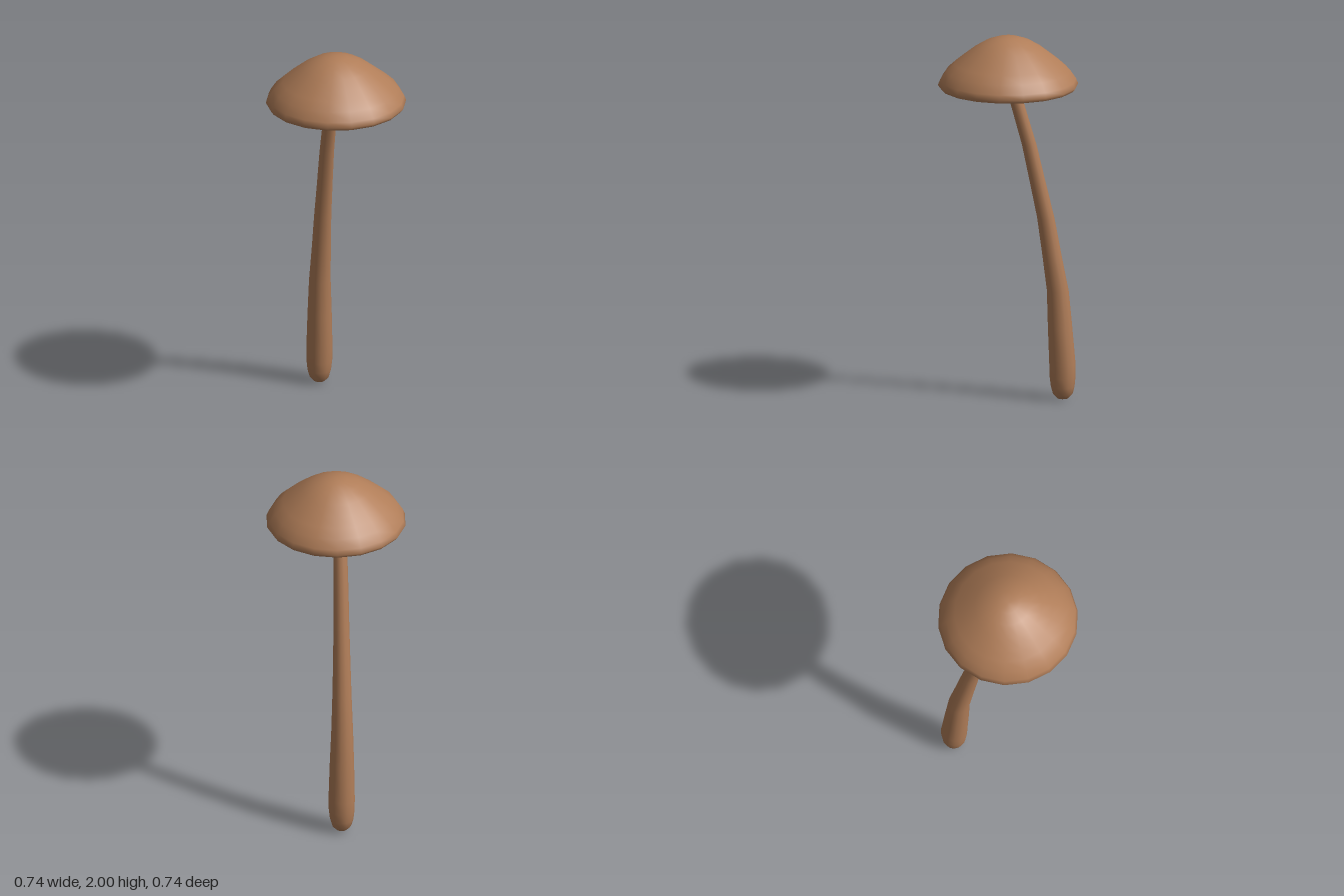
import * as THREE from 'three';
import { mergeVertices } from 'three/addons/utils/BufferGeometryUtils.js';

const brown = new THREE.MeshStandardMaterial({ color: 0xb07d58 });
brown.name = 'mushroom brown';
const dark = new THREE.MeshStandardMaterial({ color: 0x373026 });
dark.name = 'dark underside';

// Lathe from [radius, y] pairs listed from the inside/bottom to the outside/top
const lathe = (pairs, sides, start = 0) =>
  new THREE.LatheGeometry(pairs.map(([r, y]) => new THREE.Vector2(r, y)), sides, start);

// Weld the seam and smooth the normals
function smooth(geometry) {
  geometry.deleteAttribute('uv');
  geometry.deleteAttribute('normal');
  const welded = mergeVertices(geometry, 1e-4);
  welded.computeVertexNormals();
  return welded;
}

function addPart(group, name, geometry, material) {
  const mesh = new THREE.Mesh(geometry, material);
  mesh.name = name;
  group.add(mesh);
}

export function createModel() {
  const model = new THREE.Group();
  model.name = 'mushroom';
  const sides = 18, turn = -0.066;

  // Domed cap with a small rolled rim
  addPart(model, 'cap', smooth(lathe([
    [0.36, 1.72], [0.373, 1.738], [0.362, 1.765], [0.33, 1.812], [0.285, 1.853],
    [0.235, 1.893], [0.18, 1.936], [0.12, 1.972], [0.06, 1.993], [0, 2],
  ], sides, turn)), brown);

  // Shallow hollow beneath the cap
  addPart(model, 'capUnderside', smooth(lathe([
    [0, 1.785], [0.12, 1.775], [0.25, 1.75], [0.36, 1.72],
  ], sides, turn)), dark);

  // Tapered stem: a straight lathe whose rings are shifted along a curved centre line
  const centres = [
    [0.097, 0, -0.277], [0.096, 0.2, -0.275], [0.083, 0.6, -0.254], [0.058, 1, -0.195],
    [0.024, 1.4, -0.114], [-0.009, 1.72, -0.03], [-0.02, 1.82, -0.002],
  ].map((p) => new THREE.Vector3(...p));
  const centreAt = (y) => {
    let i = 0;
    while (i < centres.length - 2 && y > centres[i + 1].y) i++;
    const a = centres[i], b = centres[i + 1];
    return a.clone().lerp(b, (y - a.y) / (b.y - a.y));
  };
  const stem = lathe([
    [0, 0.005], [0.03, 0.012], [0.052, 0.035], [0.063, 0.075], [0.069, 0.13], [0.07, 0.2],
    [0.065, 0.4], [0.058, 0.6], [0.051, 0.8], [0.046, 1], [0.042, 1.2],
    [0.039, 1.4], [0.037, 1.56], [0.036, 1.72], [0.033, 1.8], [0, 1.82],
  ], 12);
  const pos = stem.attributes.position;
  for (let i = 0; i < pos.count; i++) {
    const c = centreAt(pos.getY(i));
    pos.setX(i, pos.getX(i) + c.x);
    pos.setZ(i, pos.getZ(i) + c.z);
  }
  addPart(model, 'stem', smooth(stem), brown);

  return model;
}
